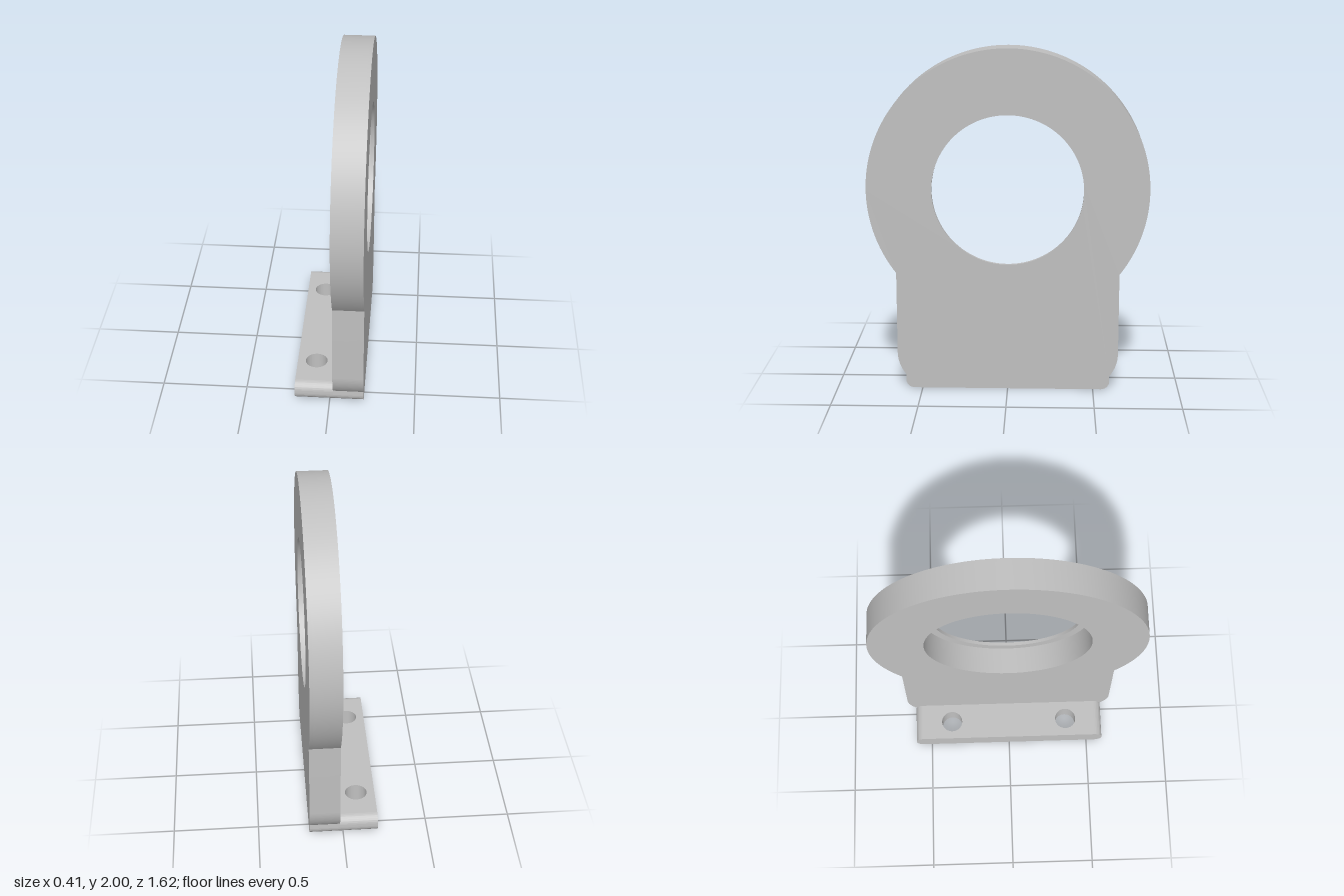
import * as THREE from 'three';
import { toCreasedNormals } from 'three/addons/utils/BufferGeometryUtils.js';

const RING_Y = 1.19, RING_R = 0.81; // round head of the plate
const SIDE = 0.645, CORNER = 0.22; // straight sides and their lower rounding
const FOOT = 0.597, FOOT_H = 0.115, FOOT_R = 0.05; // foot half length, height, edge radius
const X_BACK = -0.205, X_FACE = 0.02, X_FRONT = 0.2;

const metal = new THREE.MeshStandardMaterial({ color: 0xc0c0c0 });
metal.name = 'grey metal';

function addCircle(shape, x, y, r) {
  shape.holes.push(new THREE.Path().absarc(x, y, r, 0, Math.PI * 2, true));
}

function extrude(shape, depth) {
  return new THREE.ExtrudeGeometry(shape, { depth, bevelEnabled: false, curveSegments: 72 });
}

function makeMesh(name, geometry) {
  const mesh = new THREE.Mesh(toCreasedNormals(geometry, 0.5), metal);
  mesh.name = name;
  return mesh;
}

// Extrudes a side profile along x between two positions
function alongX(name, shape, x0, x1) {
  return makeMesh(name, extrude(shape, x1 - x0).rotateY(Math.PI / 2).translate(x0, 0, 0));
}

// Plate outline: foot edge, lower rounding, straight side, round head
function plateShape(holeRadius) {
  const a = Math.asin((0.08 - CORNER) / CORNER);
  const c = SIDE - CORNER;
  const head = Math.acos(SIDE / RING_R);
  const s = new THREE.Shape();
  s.moveTo(-FOOT + FOOT_R, 0);
  s.lineTo(FOOT - FOOT_R, 0);
  s.absarc(FOOT - FOOT_R, FOOT_R, FOOT_R, -Math.PI / 2, 0, false);
  s.absarc(c, CORNER, CORNER, a, 0, false);
  s.absarc(0, RING_Y, RING_R, -head, Math.PI + head, false);
  s.absarc(-c, CORNER, CORNER, Math.PI, Math.PI - a, false);
  s.absarc(-FOOT + FOOT_R, FOOT_R, FOOT_R, Math.PI, Math.PI * 1.5, false);
  addCircle(s, 0, RING_Y, holeRadius);
  return s;
}

// Rounded end of the foot, mirrored by side
function footEndShape(side) {
  const inner = FOOT - FOOT_R;
  const s = new THREE.Shape();
  s.moveTo(side * inner, 0);
  const mid = side > 0 ? 0 : Math.PI;
  s.absarc(side * inner, FOOT_R, FOOT_R, -side * Math.PI / 2 + (side > 0 ? 0 : Math.PI), mid, side < 0);
  s.absarc(side * inner, FOOT_H - FOOT_R, FOOT_R, mid, Math.PI / 2, side < 0);
  s.closePath();
  return s;
}

export function createModel() {
  const group = new THREE.Group();
  group.name = 'bearing bracket';

  // Upright plate with a counterbore that leaves a thin lip at the face
  group.add(alongX('plateBody', plateShape(0.485), X_FACE, X_FRONT - 0.02));
  group.add(alongX('plateLip', plateShape(0.435), X_FRONT - 0.02, X_FRONT));

  // Foot with two bolt holes
  const z = FOOT - FOOT_R;
  const foot = new THREE.Shape();
  foot.moveTo(X_BACK, -z);
  foot.lineTo(X_FACE, -z);
  foot.lineTo(X_FACE, z);
  foot.lineTo(X_BACK, z);
  foot.closePath();
  for (const side of [-1, 1]) addCircle(foot, -0.093, side * 0.365, 0.065);
  group.add(makeMesh('foot', extrude(foot, FOOT_H).rotateX(Math.PI / 2).translate(0, FOOT_H, 0)));

  // Rounded ends of the foot
  for (const side of [-1, 1]) {
    group.add(alongX(side < 0 ? 'footEndFront' : 'footEndBack', footEndShape(side), X_BACK, X_FACE));
  }
  return group;
}
